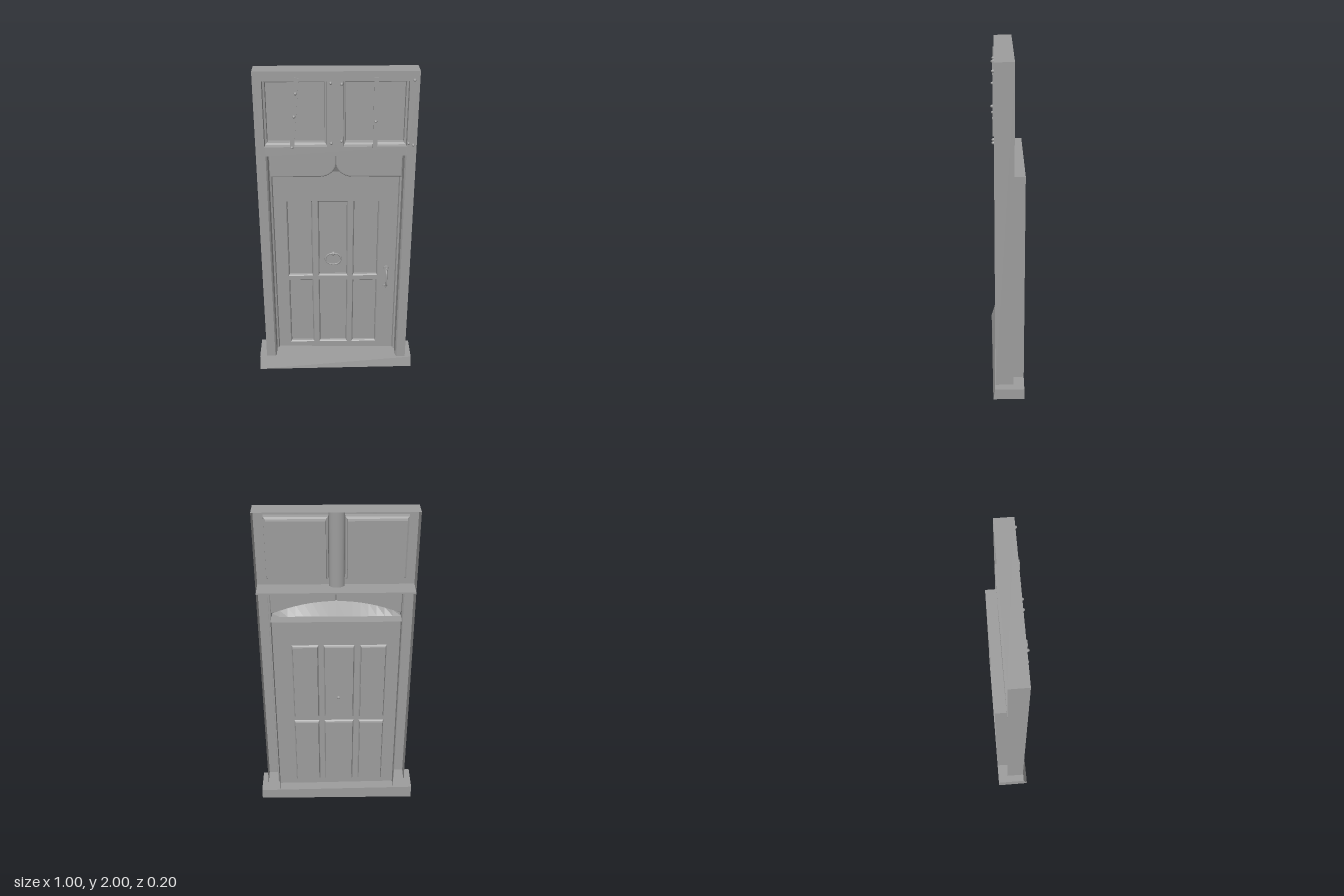
import * as THREE from 'three';

const mat = new THREE.MeshStandardMaterial({ color: 0x9d9d9d, side: THREE.DoubleSide });

export function createModel() {
  const root = new THREE.Group();
  const add = (name, geo, x = 0, y = 0, z = 0, parent = root) => {
    const m = new THREE.Mesh(geo, mat);
    m.name = name;
    m.position.set(x, y, z);
    parent.add(m);
    return m;
  };

  // Outline of a rectangle [x0, x1, y0, y1]
  const rect = ([x0, x1, y0, y1], Type = THREE.Shape) =>
    new Type([[x0, y0], [x1, y0], [x1, y1], [x0, y1]].map(p => new THREE.Vector2(...p)));

  // Flat sheet with rectangular openings
  const sheet = (outer, holes) => {
    const s = rect(outer);
    s.holes = holes.map(h => rect(h, THREE.Path));
    return new THREE.ShapeGeometry(s);
  };

  // Flat-shaded skin over a list of cross-sections with equal corner counts
  const skin = (rings, closed = true, cap = false) => {
    const v = [];
    const quad = (a, b, c, d) => v.push(...a, ...b, ...c, ...a, ...c, ...d);
    for (let i = 0; i + 1 < rings.length; i++) {
      const r = rings[i], s = rings[i + 1], n = r.length;
      for (let k = 0; k < (closed ? n : n - 1); k++) {
        const j = (k + 1) % n;
        quad(r[k], s[k], s[j], r[j]);
      }
    }
    if (cap) quad(...rings[rings.length - 1]);
    const g = new THREE.BufferGeometry();
    g.setAttribute('position', new THREE.Float32BufferAttribute(v, 3));
    g.computeVertexNormals();
    return g;
  };

  // Rectangular steps going back in z: each step is [inset, z]
  const tray = ([x0, x1, y0, y1], steps, cap) => skin(steps.map(([d, z]) => [
    [x0 + d, y0 + d, z], [x1 - d, y0 + d, z], [x1 - d, y1 - d, z], [x0 + d, y1 - d, z]]), true, cap);

  // Outer frame: hollow shell behind a pierced front
  const F = 0.072, B = -0.037, SILL = 0.075;
  const outer = [-0.455, 0.455, SILL, 2];
  const windows = [[-0.405, -0.05, 1.565, 1.945], [0.04, 0.4, 1.565, 1.945]];
  const doorway = [-0.4, 0.4, SILL + 0.001, 1.51];
  add('frameFront', sheet(outer, [...windows, doorway]), 0, 0, F);
  add('frameSides', tray(outer, [[0, F], [0, B]]));
  windows.forEach(w => add('windowPanel',
    tray(w, [[0, F], [0.003, 0.045], [0.014, 0.04], [0.016, 0.012]], true)));
  add('lintelShelf', new THREE.BoxGeometry(0.91, 0.008, F - B), 0, 1.514, (F + B) / 2);

  // Rounded back of the bar between the windows
  const mullion = new THREE.CylinderGeometry(0.045, 0.045, 0.48, 16, 1, true, Math.PI / 2, Math.PI);
  add('mullionBack', mullion, -0.005, 1.758, 0.06).scale.z = 0.7;

  // Door jambs
  const D = -0.036;
  for (const s of [-1, 1]) {
    const plan = [[0.4, F], [0.392, 0.062], [0.39, -0.015], [0.38, -0.02], [0.375, D]];
    add('doorJamb', skin([SILL, 1.51].map(y => plan.map(([x, z]) => [s * x, y, z])), false));
  }

  // Door leaf with six sunk panels and a deep rim at the back
  const panels = [];
  for (const [x0, x1] of [[-0.3, -0.142], [-0.11, 0.075], [0.105, 0.265]])
    for (const [y0, y1] of [[0.12, 0.61], [0.64, 1.17]]) panels.push([x0, x1, y0, y1]);
  const leaf = [-0.375, 0.375, SILL, 1.365];
  add('doorLeaf', sheet(leaf, panels), 0, 0, D);
  add('doorRim', tray(leaf, [[0, D], [0, -0.1]]));
  panels.forEach(p => add('doorPanel', tray(p, [[0, 0], [0.006, -0.008], [0.008, -0.02]], true), 0, 0, D));

  // Paired header panels with rounded inner corners
  for (const s of [-1, 1]) {
    const h = new THREE.Shape();
    h.moveTo(s * 0.385, 1.51);
    h.lineTo(s * 0.385, 1.362);
    h.lineTo(s * 0.1, 1.362);
    h.bezierCurveTo(s * 0.05, 1.362, s * 0.005, 1.39, 0, 1.44);
    h.lineTo(0, 1.51);
    add('headerPanel', new THREE.ExtrudeGeometry(h, {
      depth: 0.018, bevelThickness: 0.01, bevelSize: 0.01, bevelOffset: -0.01, bevelSegments: 3, curveSegments: 14,
    }), 0, 0, 0.012);
  }

  // Sloping hood from the top of the door up to the header
  const hood = [[], []];
  for (let i = 0; i <= 16; i++) {
    const x = -0.375 + i * 0.75 / 16;
    hood[0].push([x, 1.365, D]);
    hood[1].push([x, 1.365 + 0.085 * (1 - (x / 0.375) ** 2), 0.004]);
  }
  add('headerHood', skin(hood, false));

  // Sill: open underneath, with a sloping and slightly uneven front
  add('sill', skin([
    [[-0.5, 0, 0.1], [0.495, 0, 0.085], [0.495, 0, -0.1], [-0.5, 0, -0.1]],
    [[-0.5, 0.088, 0.075], [0.495, 0.07, 0.074], [0.495, 0.07, -0.1], [-0.5, 0.088, -0.1]],
  ], true, true));

  // Nailed window battens
  const nailGeo = new THREE.SphereGeometry(0.009, 10, 5, 0, Math.PI * 2, 0, Math.PI / 2).rotateX(Math.PI / 2);
  const nail = (x, y, z = F, parent = root) => {
    add('nail', nailGeo, x, y, z, parent).scale.z = 1.4;
  };
  const batten = (x, y, angle, nails) => {
    const g = new THREE.Group();
    g.name = 'batten';
    g.position.set(x, y, F + 0.003);
    g.rotation.z = angle;
    add('battenStrip', new THREE.BoxGeometry(0.025, 0.412, 0.008), 0, 0, 0, g);
    nails.forEach(t => nail(0, t, 0.004, g));
    root.add(g);
  };
  batten(-0.232, 1.76, -0.085, [0.12, -0.012, -0.195]);
  batten(0.219, 1.758, 0, [-0.04]);
  [[-0.03, 1.935], [-0.027, 1.588], [0.03, 1.93], [0.03, 1.6], [0.425, 1.95], [0.435, 1.575], [0.408, 1.585]]
    .forEach(([x, y]) => nail(x, y));

  // Ring knocker on the middle panel
  const ring = add('knockerRing', new THREE.TorusGeometry(0.049, 0.006, 8, 32), -0.015, 0.76, D - 0.008);
  ring.scale.y = 0.82;
  add('knockerBoss', new THREE.SphereGeometry(0.013, 12, 8), -0.015, 0.797, D - 0.012);

  // Pull handle on two mounting plates
  for (const y of [0.695, 0.558]) {
    add('handlePlate', new THREE.CylinderGeometry(0.016, 0.018, 0.008, 8), 0.32, y, D + 0.004).rotation.x = Math.PI / 2;
    add('handleRivet', new THREE.SphereGeometry(0.006, 8, 6), 0.32, y, D + 0.009);
  }
  const grip = new THREE.CatmullRomCurve3([[0.69, 0.005], [0.675, 0.03], [0.627, 0.038], [0.58, 0.03], [0.563, 0.005]]
    .map(([y, z]) => new THREE.Vector3(0.32, y, z)));
  add('handleGrip', new THREE.TubeGeometry(grip, 20, 0.006, 8), 0, 0, D);

  return root;
}
